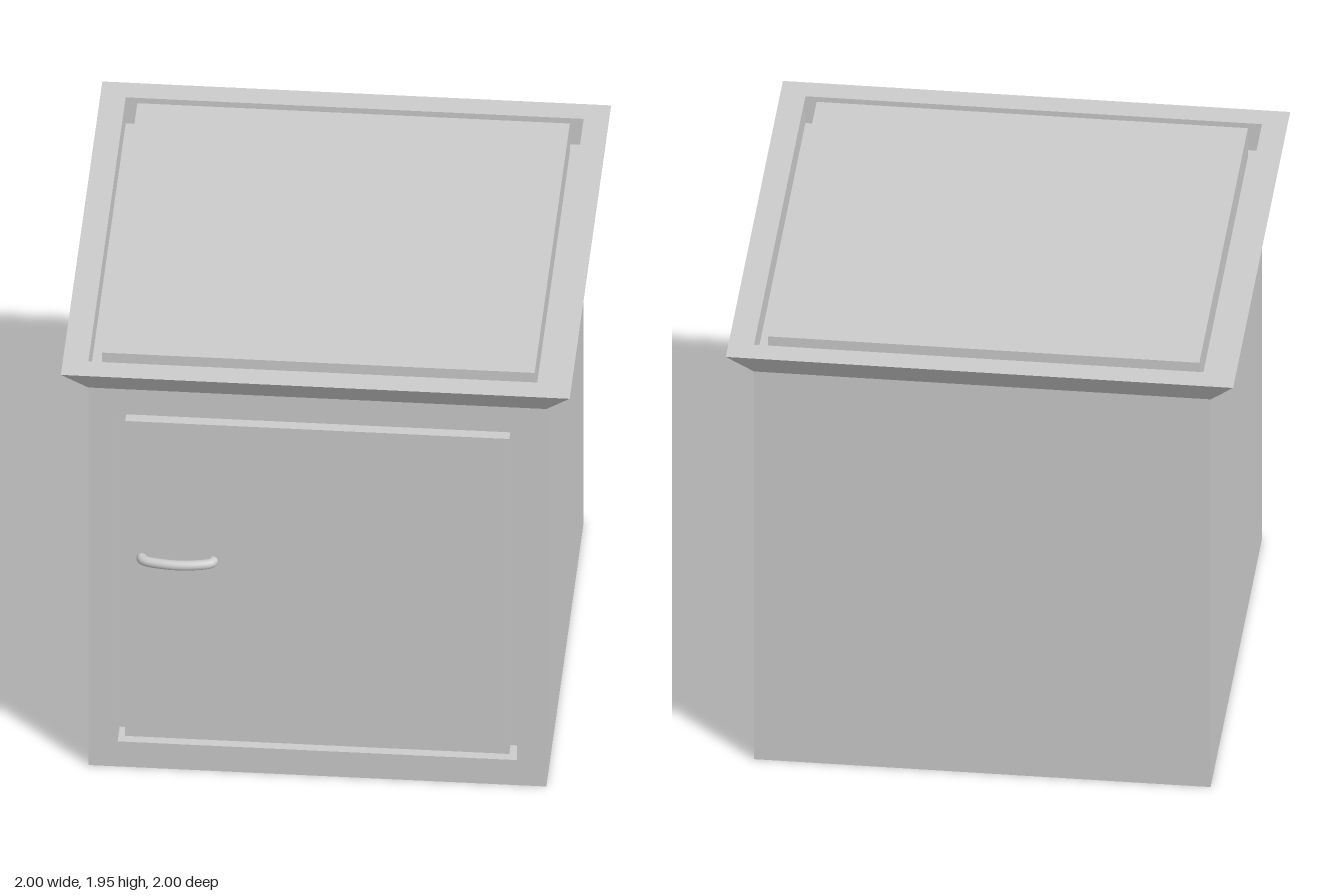
import * as THREE from 'three';

const material = new THREE.MeshStandardMaterial({ color: 0xcccccc });
const flat = new THREE.MeshStandardMaterial({ color: 0xcccccc, flatShading: true });

export function createModel() {
  const model = new THREE.Group();
  model.name = 'cabinet';

  const add = (name, geometry, mat = material, parent = model) => {
    const mesh = new THREE.Mesh(geometry, mat);
    mesh.name = name;
    parent.add(mesh);
    return mesh;
  };
  // Box given by its lower and upper corners
  const addBox = (name, [x0, y0, z0], [x1, y1, z1]) =>
    add(name, new THREE.BoxGeometry(x1 - x0, y1 - y0, z1 - z0))
      .position.set((x0 + x1) / 2, (y0 + y1) / 2, (z0 + z1) / 2);
  const rect = (x, y0, y1) => [[-x, y0], [x, y0], [x, y1], [-x, y1]].map(p => new THREE.Vector2(...p));

  const half = 0.9, bodyTop = 1.81, recess = 0.8;

  // Body behind the door
  addBox('body', [-half, 0, -half], [half, bodyTop, recess]);

  // Front frame with the door opening
  const frame = new THREE.Shape(rect(half, 0, bodyTop));
  frame.holes.push(new THREE.Path(rect(0.785, 0.12, 1.69)));
  add('frontFrame', new THREE.ExtrudeGeometry(frame, { depth: half - recess, bevelEnabled: false }))
    .position.z = recess;

  // Door panel, leaving a narrow gap all round
  addBox('door', [-0.755, 0.15, recess], [0.755, 1.66, 0.903]);

  // Square flared rim around the top
  const profile = [[half, bodyTop], [1, 1.935], [half, 1.935], [half, bodyTop]]
    .map(([r, y]) => new THREE.Vector2(r * Math.SQRT2, y));
  add('topRim', new THREE.LatheGeometry(profile, 4, Math.PI / 4), flat);

  // Raised slab inside the rim
  addBox('topSlab', [-0.85, bodyTop, -0.85], [0.85, 1.945, 0.85]);

  // Bowed handle with its ends turned into the door
  const handle = new THREE.Group();
  handle.name = 'handle';
  handle.position.set(-0.55, 1.01, 0.9);
  model.add(handle);
  const path = new THREE.CatmullRomCurve3(
    [[-0.138, -0.01], [-0.14, 0.012], [-0.125, 0.026], [-0.07, 0.04], [0, 0.046],
      [0.07, 0.04], [0.125, 0.026], [0.14, 0.012], [0.138, -0.01]]
      .map(([x, z]) => new THREE.Vector3(x, 0, z)));
  add('handleBar', new THREE.TubeGeometry(path, 48, 0.02, 16), material, handle);

  return model;
}
